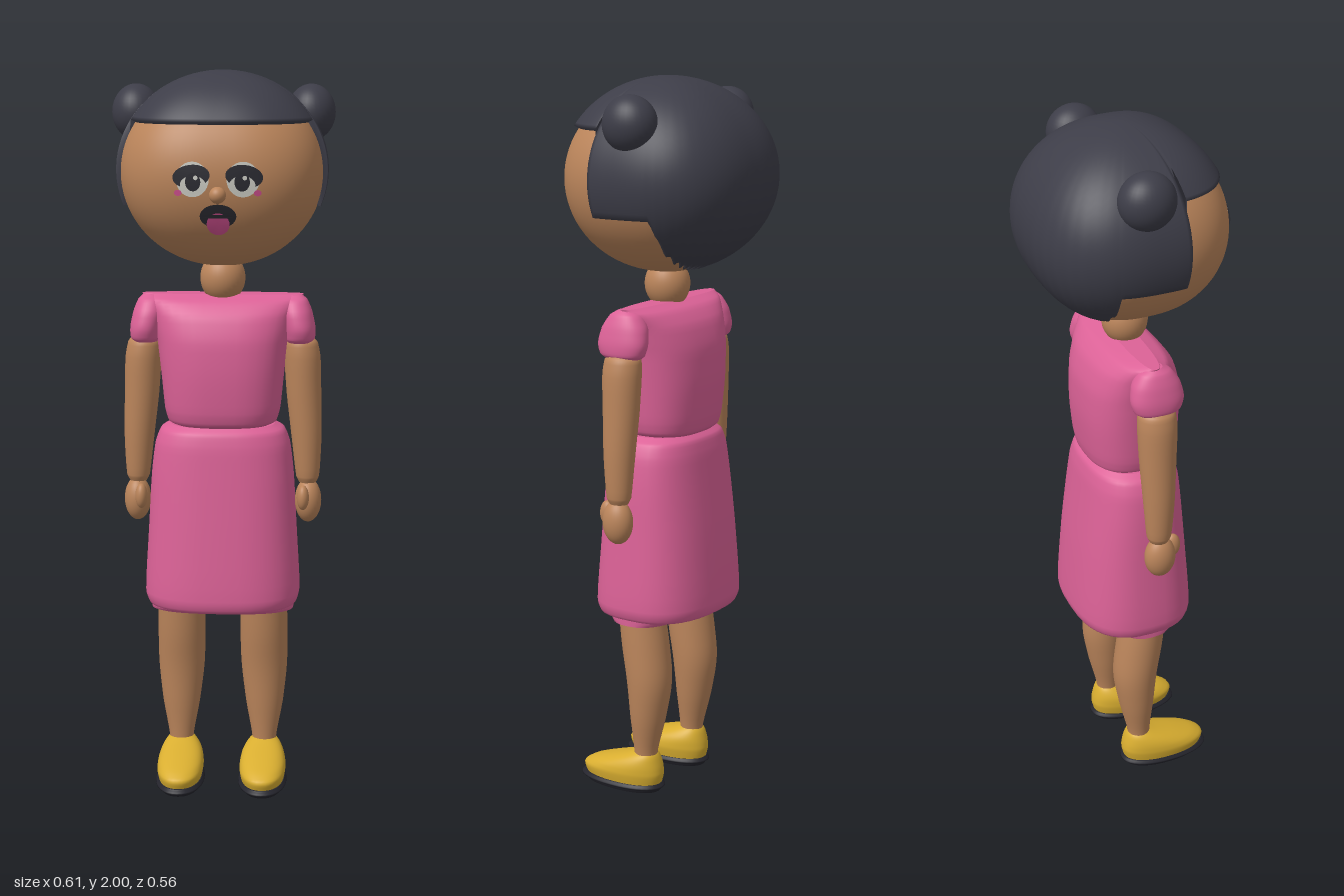
import * as THREE from 'three';

const mat = (name, color, side = THREE.FrontSide) => {
  const m = new THREE.MeshStandardMaterial({ color, side });
  m.name = name;
  return m;
};
const spow = (v, p) => Math.sign(v) * Math.abs(v) ** p;

// Head and hair ovals: half width, front depth, back depth, centre height, half height
const HEAD = { a: 0.275, f: 0.25, b: 0.265, y: 1.73, h: 0.256 };
const HAIR = { a: 0.287, f: 0.261, b: 0.283, y: 1.735, h: 0.265 };
const N = 2.55;

function ovalPoint(o, t, phi, k = 1) {
  const c = spow(Math.cos(t), 2 / N), s = spow(Math.sin(t), 2 / N);
  const r = Math.cos(phi) * k;
  return [o.a * c * r, o.y + o.h * Math.sin(phi) * k, (s > 0 ? o.f : o.b) * s * r];
}

// Rows of closed rings, ascending in y, joined into a smooth skin
function skin(rows, capBottom = true, capTop = true) {
  const n = rows[0].length, pos = rows.flat(2), idx = [];
  for (let i = 0; i < rows.length - 1; i++)
    for (let j = 0; j < n; j++) {
      const a = i * n + j, b = i * n + (j + 1) % n;
      idx.push(a, a + n, b, b, a + n, b + n);
    }
  // flat end caps on their own vertices
  const cap = (row, up) => {
    const base = pos.length / 3, c = [0, 0, 0];
    row.forEach(p => { pos.push(...p); p.forEach((v, k) => { c[k] += v / n; }); });
    pos.push(...c);
    for (let j = 0; j < n; j++) {
      const a = base + j, b = base + (j + 1) % n;
      idx.push(base + n, up ? b : a, up ? a : b);
    }
  };
  if (capBottom) cap(rows[0], false);
  if (capTop) cap(rows[rows.length - 1], true);
  const g = new THREE.BufferGeometry();
  g.setAttribute('position', new THREE.Float32BufferAttribute(pos, 3));
  g.setIndex(idx);
  g.computeVertexNormals();
  return g;
}

// Sections [y, half width, front z, back z, centre x], eased with a spline
function loft(sections, side = 1, n = 2, seg = 40) {
  const size = new THREE.CatmullRomCurve3(sections.map(s => new THREE.Vector3(s[1], s[2], s[3])));
  const place = new THREE.CatmullRomCurve3(sections.map(s => new THREE.Vector3((s[4] || 0) * side, s[0], 0)));
  const steps = (sections.length - 1) * 4, rows = [];
  for (let i = 0; i <= steps; i++) {
    const d = size.getPoint(i / steps), p = place.getPoint(i / steps);
    const row = [];
    for (let j = 0; j < seg; j++) {
      const t = j / seg * Math.PI * 2;
      row.push([p.x + d.x * spow(Math.cos(t), 2 / n), p.y,
        (d.y + d.z) / 2 + (d.y - d.z) / 2 * spow(Math.sin(t), 2 / n)]);
    }
    rows.push(row);
  }
  return skin(rows);
}

function headGeometry() {
  const rows = [];
  for (let i = 0; i <= 40; i++) {
    const phi = (i / 40 - 0.5) * Math.PI * 0.999, row = [];
    for (let j = 0; j < 64; j++) row.push(ovalPoint(HEAD, j / 64 * Math.PI * 2, phi));
    rows.push(row);
  }
  return skin(rows);
}

// Hair shell: straight fringe, square side locks, ragged nape
function hairGeometry() {
  const cols = 192, steps = 28;
  const rows = Array.from({ length: steps + 2 }, () => []);
  for (let j = 0; j < cols; j++) {
    const t = j / cols * Math.PI * 2, z = ovalPoint(HAIR, t, 0)[2];
    let low = 1.87;
    if (z < 0.066) low = 1.64;
    if (z < -0.12) {
      const nape = HAIR.y - HAIR.h * Math.sqrt(1 - (0.115 / z) ** 2);
      low = Math.min(1.64, nape + 0.008 * Math.sin(t * 40));
    }
    const p0 = Math.asin((low - HAIR.y) / HAIR.h);
    rows[0].push(ovalPoint(HAIR, t, p0, 0.94));
    for (let i = 0; i <= steps; i++)
      rows[i + 1].push(ovalPoint(HAIR, t, p0 + (Math.PI / 2 * 0.999 - p0) * i / steps));
  }
  return skin(rows, false, true);
}

// Lay an oval patch on the front of the face
function patch(x, y, rx, ry, lift, tilt = 0) {
  const g = new THREE.CircleGeometry(1, 28).scale(rx, ry, 1).rotateZ(tilt).translate(x, y, 0);
  const p = g.attributes.position;
  for (let i = 0; i < p.count; i++) {
    const v = (p.getY(i) - HEAD.y) / HEAD.h, r = Math.sqrt(1 - v * v);
    const u = Math.abs(p.getX(i)) / (HEAD.a * r);
    p.setZ(i, HEAD.f * r * (1 - u ** N) ** (1 / N) + lift);
  }
  g.computeVertexNormals();
  return g;
}

const ball = (x, y, z, rx, ry, rz) =>
  new THREE.SphereGeometry(1, 32, 24).scale(rx, ry, rz).translate(x, y, z);

export function createModel() {
  const model = new THREE.Group();
  model.name = 'doll';
  const skinTone = mat('skin', 0xbb855b), hair = mat('hair', 0x3d3d48);
  const dress = mat('dress pink', 0xdc6297), shoe = mat('shoe yellow', 0xd9ae30);
  const dark = mat('sole black', 0x25252d), ink = mat('eye black', 0x2a2a31, THREE.DoubleSide);
  const white = mat('eye white', 0xccccc4, THREE.DoubleSide);
  const lip = mat('lip pink', 0xd0508f, THREE.DoubleSide);
  const add = (name, geometry, material) => {
    const m = new THREE.Mesh(geometry, material);
    m.name = name;
    model.add(m);
  };

  // Head
  add('head', headGeometry(), skinTone);
  add('hair', hairGeometry(), hair);
  add('nose', ball(0, 1.685, 0.258, 0.022, 0.022, 0.022), skinTone);
  add('neck', ball(0, 1.44, 0, 0.062, 0.07, 0.063), skinTone);

  // Mouth
  add('mouthOutline', patch(0, 1.628, 0.048, 0.032, 0.007), ink);
  add('lowerLip', patch(0, 1.607, 0.03, 0.03, 0.01), lip);
  add('mouthLine', patch(0, 1.628, 0.04, 0.005, 0.014), ink);

  // Dress
  add('bodice', loft([[1.035, 0.13, 0.1, -0.11], [1.045, 0.15, 0.115, -0.122], [1.08, 0.16, 0.125, -0.13],
    [1.18, 0.17, 0.131, -0.138], [1.27, 0.18, 0.127, -0.134], [1.34, 0.195, 0.105, -0.113],
    [1.38, 0.215, 0.068, -0.078], [1.396, 0.222, 0.025, -0.035]], 1, 2.6), dress);
  add('skirt', loft([[0.52, 0.19, 0.135, -0.145], [0.528, 0.208, 0.158, -0.168], [0.56, 0.217, 0.165, -0.176],
    [0.75, 0.207, 0.15, -0.162], [0.9, 0.198, 0.136, -0.144], [0.98, 0.188, 0.128, -0.134],
    [1.02, 0.172, 0.118, -0.124], [1.036, 0.145, 0.1, -0.106]], 1, 2.6), dress);
  add('hem', loft([[0.507, 0.2, 0.1, -0.095], [0.515, 0.2, 0.11, -0.105], [0.54, 0.2, 0.12, -0.12]], 1, 2.6), dress);

  for (const s of [1, -1]) {
    const name = part => (s > 0 ? 'left' : 'right') + part;
    add(name('Bun'), ball(s * 0.238, 1.886, -0.042, 0.066, 0.076, 0.076), hair);

    // Eye, lashes and cheek
    add(name('EyeRim'), patch(s * 0.066, 1.725, 0.043, 0.046, 0.006), white);
    add(name('Lash'), patch(s * 0.069, 1.733, 0.049, 0.03, 0.009, s * -0.12), ink);
    add(name('EyeWhite'), patch(s * 0.064, 1.711, 0.034, 0.024, 0.012), white);
    add(name('Pupil'), patch(s * 0.064, 1.719, 0.02, 0.024, 0.014), ink);
    add(name('EyeGlint'), patch(s * 0.064 + 0.007, 1.73, 0.006, 0.006, 0.016), white);
    add(name('Cheek'), patch(s * 0.104, 1.69, 0.01, 0.008, 0.009), lip);

    // Arm
    add(name('Sleeve'), loft([[1.265, 0.034, 0.055, -0.052, 0.211], [1.275, 0.041, 0.068, -0.064, 0.213],
      [1.305, 0.044, 0.076, -0.072, 0.211], [1.345, 0.044, 0.068, -0.066, 0.203],
      [1.38, 0.035, 0.045, -0.045, 0.198], [1.394, 0.02, 0.02, -0.02, 0.198]], s, 2.2), dress);
    add(name('Arm'), loft([[0.868, 0.024, 0.026, -0.026, 0.237], [0.885, 0.032, 0.034, -0.034, 0.237],
      [1.0, 0.042, 0.044, -0.043, 0.233], [1.12, 0.048, 0.05, -0.051, 0.225],
      [1.22, 0.05, 0.054, -0.055, 0.22], [1.262, 0.046, 0.05, -0.052, 0.216],
      [1.28, 0.03, 0.03, -0.03, 0.214]], s), skinTone);
    add(name('Hand'), ball(s * 0.239, 0.816, 0.003, 0.037, 0.062, 0.044), skinTone);
    add(name('Thumb'), ball(s * 0.225, 0.832, 0.047, 0.017, 0.035, 0.022), skinTone);

    // Leg and shoe
    add(name('Leg'), loft([[0.08, 0.032, 0.026, -0.036, 0.119], [0.12, 0.035, 0.027, -0.04, 0.119],
      [0.22, 0.053, 0.036, -0.064, 0.119], [0.33, 0.065, 0.046, -0.081, 0.118],
      [0.43, 0.067, 0.062, -0.072, 0.117], [0.53, 0.066, 0.073, -0.055, 0.116]], s), skinTone);
    add(name('Shoe'), loft([[0.02, 0.06, 0.192, -0.05, 0.117], [0.045, 0.065, 0.2, -0.056, 0.117],
      [0.065, 0.064, 0.172, -0.055, 0.117], [0.085, 0.057, 0.115, -0.05, 0.117],
      [0.105, 0.042, 0.05, -0.042, 0.118], [0.115, 0.03, 0.022, -0.034, 0.118]], s, 2.2), shoe);
    add(name('Sole'), loft([[0, 0.058, 0.19, -0.047, 0.117], [0.01, 0.063, 0.199, -0.053, 0.117],
      [0.024, 0.063, 0.199, -0.053, 0.117]], s, 2.2), dark);
  }
  return model;
}
